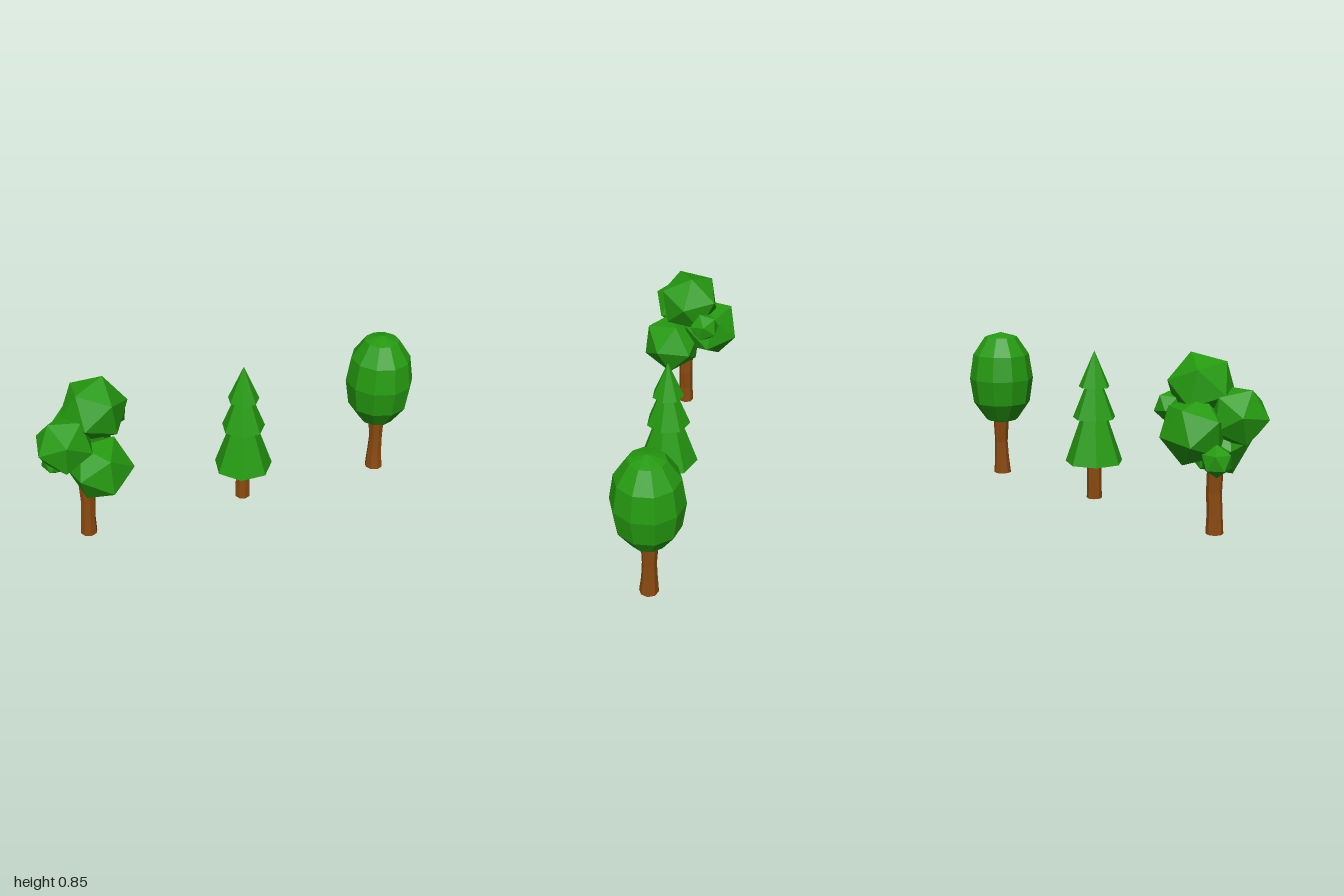
import * as THREE from 'three';

const leafGreen = new THREE.MeshStandardMaterial({ color: 0x259a10 });
leafGreen.name = 'leafGreen';
const barkBrown = new THREE.MeshStandardMaterial({ color: 0x8b4a10 });
barkBrown.name = 'barkBrown';

// Faceted mesh: every face gets its own normal
function facet(name, geometry, material) {
  const g = geometry.index ? geometry.toNonIndexed() : geometry;
  g.computeVertexNormals();
  const mesh = new THREE.Mesh(g, material);
  mesh.name = name;
  return mesh;
}

// Slightly crooked trunk through rings of [x, y, z, radius], bottom to top
function trunk(name, rings, sides = 8) {
  const n = rings.length - 1;
  const g = new THREE.CylinderGeometry(1, 1, n, sides, n);
  const p = g.attributes.position;
  for (let i = 0; i < p.count; i++) {
    const [x, y, z, r] = rings[Math.round(p.getY(i) + n / 2)];
    p.setXYZ(i, x + p.getX(i) * r, y, z + p.getZ(i) * r);
  }
  return facet(name, g, barkBrown);
}

// Orthonormal basis with its first axis along a, second towards b
function basis(a, b) {
  const u = a.clone().normalize();
  const w = u.clone().cross(b).normalize();
  return new THREE.Matrix4().makeBasis(u, w.clone().cross(u), w);
}

// Icosahedral leaf clump with one corner along "axis" and the next one towards "toward"
function clump(name, centre, radius, axis, toward) {
  const phi = (1 + Math.sqrt(5)) / 2;
  const from = basis(new THREE.Vector3(0, 1, phi), new THREE.Vector3(0, -1, phi));
  const to = basis(new THREE.Vector3(...axis), new THREE.Vector3(...toward));
  const g = new THREE.IcosahedronGeometry(radius, 0);
  g.applyMatrix4(to.multiply(from.transpose()));
  g.translate(...centre);
  return facet(name, g, leafGreen);
}

// Broad tree: trunk and six leaf clumps
function broadTree() {
  const tree = new THREE.Group();
  tree.name = 'broadTree';
  tree.add(
    trunk('broadTrunk', [
      [-0.763, 0.005, 0.03, 0.042], [-0.762, 0.1, 0.03, 0.037],
      [-0.756, 0.2, 0.03, 0.037], [-0.76, 0.3, 0.03, 0.038], [-0.755, 0.45, 0.03, 0.036],
    ]),
    clump('topClump', [-0.69, 0.695, 0.005], 0.167, [0.055, 0.153, -0.015], [-0.105, 0.13, 0.065]),
    clump('sideClump', [-0.86, 0.572, 0.07], 0.148, [-0.13, -0.005, 0.05], [-0.01, 0.14, -0.02]),
    clump('frontClump', [-0.7, 0.42, 0.1], 0.165, [0.02, -0.07, 0.15], [0.015, 0.12, 0.12]),
    clump('backClump', [-0.74, 0.51, -0.1], 0.165, [0.073, -0.02, -0.147], [-0.05, 0.14, -0.12]),
    clump('smallHighClump', [-0.58, 0.6, -0.085], 0.08, [0.07, 0.03, 0], [0.03, -0.07, 0.02]),
    clump('smallLowClump', [-0.875, 0.39, -0.09], 0.077, [-0.06, -0.03, -0.02], [0, -0.08, 0]),
  );
  return tree;
}

// Conifer: trunk and three stacked seven-sided tiers
function conifer() {
  const tree = new THREE.Group();
  tree.name = 'conifer';
  tree.add(trunk('coniferTrunk', [
    [0.067, 0.01, 0.033, 0.039], [0.067, 0.1, 0.033, 0.038], [0.067, 0.22, 0.033, 0.036],
  ]));
  const tiers = [[0.2, 0.43, 0.15, 0.07], [0.43, 0.59, 0.111, 0.047], [0.59, 0.775, 0.08, 0]];
  tiers.forEach(([y0, y1, low, high], i) => {
    const g = new THREE.CylinderGeometry(high, low, y1 - y0, 7);
    g.rotateY(Math.PI);
    g.translate(0.068, (y0 + y1) / 2, 0.035);
    tree.add(facet('coniferTier' + (i + 1), g, leafGreen));
  });
  return tree;
}

// Oval tree: trunk and a ten-sided egg-shaped crown
function ovalTree() {
  const tree = new THREE.Group();
  tree.name = 'ovalTree';
  const profile = [
    [0, 0.285], [0.086, 0.31], [0.154, 0.407], [0.174, 0.54], [0.153, 0.673], [0.088, 0.77], [0, 0.795],
  ].map(([r, y]) => new THREE.Vector2(r, y));
  const crown = new THREE.LatheGeometry(profile, 10);
  crown.translate(0.829, 0, 0.037);
  tree.add(
    trunk('ovalTrunk', [
      [0.834, 0.003, 0.038, 0.047], [0.834, 0.09, 0.035, 0.039],
      [0.836, 0.18, 0.034, 0.035], [0.832, 0.3, 0.032, 0.042],
    ]),
    facet('ovalCrown', crown, leafGreen),
  );
  return tree;
}

export function createModel() {
  const model = new THREE.Group();
  model.name = 'trees';
  model.add(broadTree(), conifer(), ovalTree());
  return model;
}
